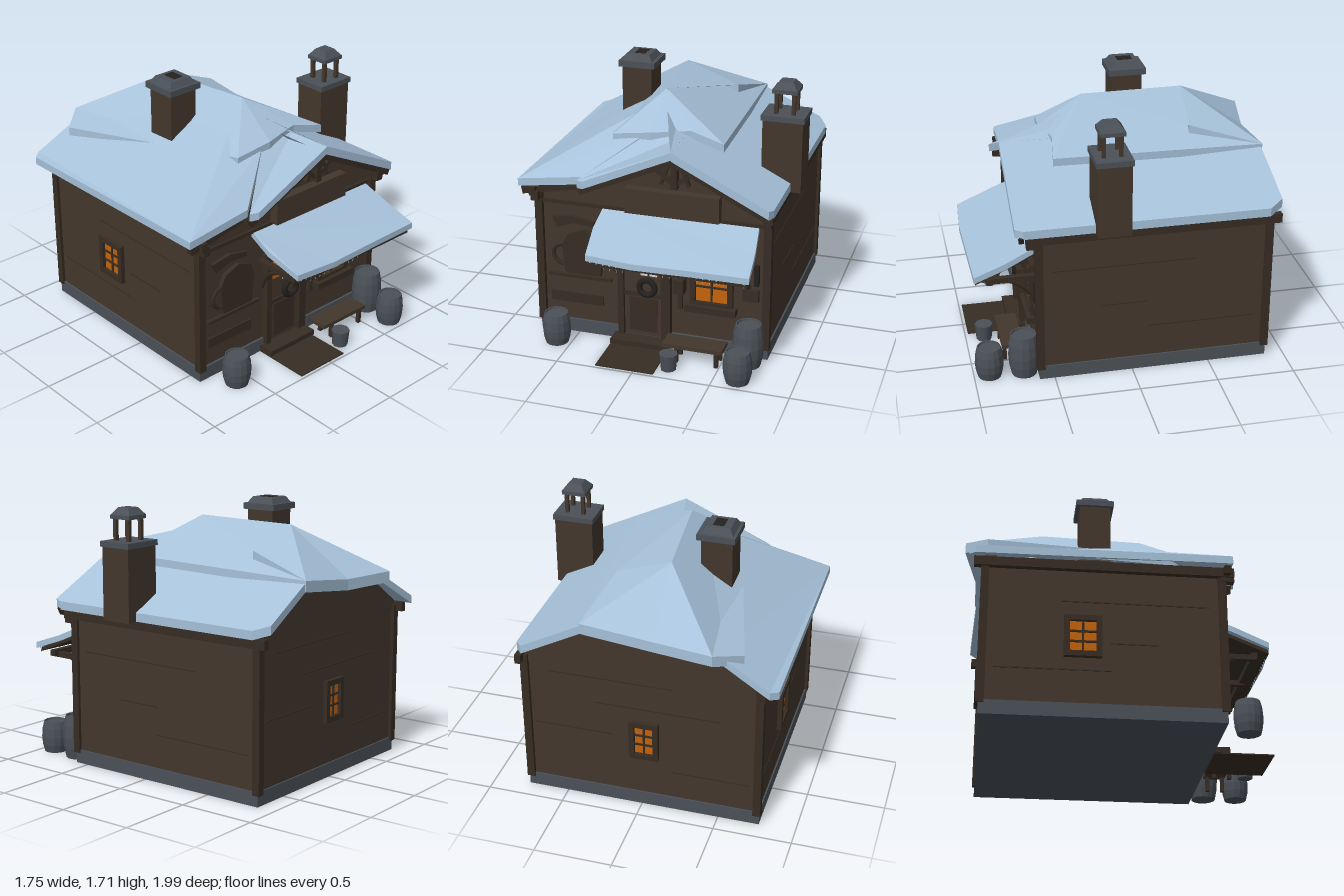
import * as THREE from 'three';

const paint = (name, color) => Object.assign(new THREE.MeshStandardMaterial({ color }), { name });

export function createModel() {
  const model = new THREE.Group();
  const wood = paint('brown wood', 0x43372c);
  const trim = paint('dark wood', 0x372d23);
  const stone = paint('grey stone', 0x4b5158);
  const snow = paint('blue snow', 0xa6c1d9);
  const glow = paint('orange window light', 0xc4630c);
  const glass = paint('pale glass', 0xd9dde0);
  const dark = paint('soot', 0x24211f);

  const add = (name, geo, mat, x = 0, y = 0, z = 0, parent = model) => {
    const m = new THREE.Mesh(geo, mat);
    m.name = name;
    m.position.set(x, y, z);
    parent.add(m);
    return m;
  };
  // box given by its limits on each axis
  const box = (name, mat, x0, x1, y0, y1, z0, z1, parent) =>
    add(name, new THREE.BoxGeometry(x1 - x0, y1 - y0, z1 - z0), mat,
      (x0 + x1) / 2, (y0 + y1) / 2, (z0 + z1) / 2, parent);
  // square beam between two points
  const beam = (name, mat, a, b, w, d) => {
    const p = new THREE.Vector3(...a), q = new THREE.Vector3(...b);
    const m = add(name, new THREE.BoxGeometry(w, p.distanceTo(q), d), mat);
    m.position.copy(p).add(q).multiplyScalar(0.5);
    m.quaternion.setFromUnitVectors(new THREE.Vector3(0, 1, 0), q.sub(p).normalize());
    return m;
  };
  // outline in x and y, extruded from z0 to z1
  const plate = (name, mat, pts, z0, z1) => add(name, new THREE.ExtrudeGeometry(
    new THREE.Shape(pts.map(p => new THREE.Vector2(...p))),
    { depth: z1 - z0, bevelEnabled: false }), mat, 0, 0, z0);
  // faceted slab: top corners counter-clockwise from above, dropped by t
  const slab = (name, mat, top, t) => {
    const low = top.map(([x, y, z]) => [x, y - t, z]);
    const v = [];
    top.forEach((p, i) => {
      const j = (i + 1) % top.length;
      v.push(low[i], low[j], top[j], low[i], top[j], p);
      if (i > 0 && j > 0) v.push(top[0], p, top[j], low[0], low[j], low[i]);
    });
    const g = new THREE.BufferGeometry();
    g.setAttribute('position', new THREE.Float32BufferAttribute(v.flat(), 3));
    g.computeVertexNormals();
    return add(name, g, mat);
  };

  // walls and foundation
  box('foundation', stone, -0.765, 0.765, 0, 0.09, -0.88, 0.595);
  plate('walls', wood, [[-0.755, 0.07], [0.755, 0.07], [0.755, 1.02], [0.17, 1.32],
    [-0.43, 1.06], [-0.755, 1.0]], -0.87, 0.58);
  plate('backGable', wood, [[-0.755, 0.95], [0.755, 0.95], [0.755, 1.03], [0.34, 1.24],
    [-0.1, 1.22], [-0.5, 1.19], [-0.755, 1.03]], -0.875, -0.8);
  for (const x of [-0.75, 0.75]) for (const z of [-0.87, 0.585])
    box('cornerPost', trim, x - 0.025, x + 0.025, 0.07, 1.0, z - 0.025, z + 0.025);
  for (const s of [-1, 1]) {
    box('sideWallPlate', trim, s * 0.77 - 0.02, s * 0.77 + 0.02, 0.96, 1.02, -0.94, 0.66);
    for (const [y, a, b] of [[0.3, -0.8, -0.1], [0.48, -0.1, 0.2], [0.75, -0.4, 0.5]])
      box('plankSeam', trim, s * 0.756 - 0.003, s * 0.756 + 0.003, y, y + 0.007, a, b);
  }
  for (const [y, a, b] of [[0.28, -0.7, -0.2], [0.5, 0.2, 0.7], [0.72, -0.5, 0.3], [0.9, -0.2, 0.6]])
    box('backPlankSeam', trim, a, b, y, y + 0.007, -0.879, -0.873);

  // main roof snow: left slope, right slope and front gable
  slab('roofLeft', snow, [[-0.87, 1.06, 0.64], [-0.43, 1.13, 0.66], [-0.1, 1.36, 0.43], [-0.04, 1.53, 0.15],
    [-0.09, 1.51, -0.5], [-0.5, 1.24, -0.93], [-0.82, 1.06, -0.97], [-0.87, 1.05, -0.93]], 0.05);
  slab('roofRight', snow, [[0.17, 1.385, 0.73], [0.78, 1.08, 0.73], [0.8, 1.07, 0.68], [0.8, 1.07, -0.86],
    [0.74, 1.1, -0.95], [0.34, 1.3, -0.92], [-0.09, 1.5, -0.5], [-0.04, 1.53, 0.15], [0.17, 1.385, 0.42]], 0.055);
  slab('frontGableLeft', snow, [[-0.45, 1.12, 0.7], [-0.4, 1.13, 0.73], [0.17, 1.385, 0.73],
    [0.17, 1.385, 0.42], [-0.1, 1.35, 0.43]], 0.05);

  // thick drift over the ridge, clipped at both ends
  const A = [-0.03, 1.59, 0.17], B = [-0.09, 1.57, -0.5], C = [0.27, 1.44, -0.47];
  const FL = [-0.3, 1.35, 0.43], FR = [0.42, 1.355, 0.43], BR = [0.36, 1.31, -0.93], BL = [-0.48, 1.27, -1];
  slab('driftLeft', snow, [FL, A, B, BL, [-0.64, 1.22, -0.86]], 0.07);
  slab('driftBack', snow, [B, C, BR, [-0.1, 1.26, -0.93], BL], 0.07);
  slab('driftRight', snow, [A, FR, BR, C, B], 0.05);
  slab('driftFront', snow, [A, FL, [-0.05, 1.39, 0.45], [0.2, 1.41, 0.4], FR], 0.05);

  // barge boards and gable truss
  beam('bargeBoard', trim, [-0.44, 1.05, 0.69], [0.17, 1.315, 0.69], 0.05, 0.03);
  beam('bargeBoard', trim, [0.17, 1.315, 0.69], [0.79, 1.0, 0.69], 0.05, 0.03);
  beam('bargeBoard', trim, [-0.85, 0.98, 0.61], [-0.44, 1.06, 0.61], 0.05, 0.04);
  box('kingPost', trim, 0.15, 0.19, 1.12, 1.32, 0.62, 0.67);
  for (const s of [-1, 1]) {
    beam('trussBrace', trim, [0.17, 1.14, 0.64], [0.17 + s * 0.13, 1.24, 0.64], 0.025, 0.03);
    beam('trussStrut', trim, [0.17 + s * 0.03, 1.3, 0.64], [0.17 + s * 0.09, 1.14, 0.64], 0.02, 0.03);
    box('rafterEnd', trim, s * 0.755 - 0.025, s * 0.755 + 0.025, 0.93, 0.99, 0.58, 0.66);
  }
  box('frontBeam', trim, -0.73, 0.73, 0.9, 0.925, 0.57, 0.595);
  box('gableBoard', wood, -0.16, 0.45, 0.915, 1.08, 0.58, 0.64);

  // solid chimney
  box('leftChimney', wood, -0.41, -0.21, 1.15, 1.64, -0.27, -0.07);
  box('leftChimneyCap', stone, -0.43, -0.185, 1.63, 1.67, -0.295, -0.05);
  const crown = (name, r0, r1, h, x, y, z) => {
    add(name, new THREE.CylinderGeometry(r0, r1, h, 4, 1).rotateY(Math.PI / 4).toNonIndexed(), stone, x, y, z)
      .geometry.computeVertexNormals();
  };
  crown('leftChimneyCrown', 0.11, 0.145, 0.04, -0.31, 1.69, -0.17);
  box('flueOpening', dark, -0.34, -0.27, 1.705, 1.712, -0.22, -0.12);

  // chimney with an open lantern top
  box('rightChimney', wood, 0.61, 0.865, 1.01, 1.48, 0.03, 0.24);
  box('rightChimneyCap', stone, 0.6, 0.875, 1.47, 1.505, 0.02, 0.25);
  for (const x of [0.685, 0.795]) for (const z of [0.085, 0.19])
    box('lanternPost', wood, x - 0.012, x + 0.012, 1.5, 1.65, z - 0.012, z + 0.012);
  box('lanternPlate', stone, 0.66, 0.82, 1.64, 1.665, 0.06, 0.215);
  crown('lanternCrown', 0.06, 0.108, 0.045, 0.74, 1.687, 0.137);

  // porch canopy with icicles and brackets
  slab('canopySnow', snow, [[-0.32, 0.91, 0.58], [-0.33, 0.84, 0.74], [-0.3, 0.755, 0.97], [0, 0.745, 0.99], [0.4, 0.75, 0.985],
    [0.73, 0.75, 0.98], [0.715, 0.82, 0.78], [0.69, 0.91, 0.58]], 0.04);
  slab('canopyDeck', trim, [[-0.29, 0.865, 0.58], [-0.28, 0.71, 0.97], [0.7, 0.71, 0.97], [0.67, 0.865, 0.58]], 0.025);
  box('canopyBeam', trim, -0.26, 0.68, 0.66, 0.7, 0.86, 0.9);
  for (let i = 0; i < 24; i++) {
    const h = 0.02 + 0.03 * Math.abs(Math.sin(i * 2.7));
    add('icicle', new THREE.ConeGeometry(0.009, h, 5).rotateX(Math.PI), snow, -0.27 + i * 0.042, 0.712 - h / 2, 0.965);
  }
  for (const x of [-0.24, 0.18, 0.63]) {
    box('bracketArm', trim, x - 0.018, x + 0.018, 0.65, 0.685, 0.58, 0.9);
    add('bracketCurve', new THREE.TubeGeometry(new THREE.QuadraticBezierCurve3(
      new THREE.Vector3(x, 0.48, 0.59), new THREE.Vector3(x, 0.61, 0.62),
      new THREE.Vector3(x, 0.66, 0.76)), 8, 0.016, 5), trim);
  }

  // door, step and mat
  for (const [a, b] of [[-0.22, -0.18], [0.07, 0.13]]) box('doorJamb', trim, a, b, 0.05, 0.69, 0.58, 0.625);
  box('doorLintel', trim, -0.23, 0.14, 0.67, 0.71, 0.58, 0.63);
  box('doorLeaf', wood, -0.18, 0.07, 0.05, 0.68, 0.58, 0.6);
  box('doorPanel', trim, -0.145, 0.04, 0.08, 0.32, 0.6, 0.608);
  box('doorRail', trim, -0.18, 0.07, 0.33, 0.36, 0.6, 0.612);
  box('doorPaneLit', glow, -0.18, -0.08, 0.51, 0.63, 0.6, 0.606);
  box('doorPaneClear', glass, -0.07, 0.04, 0.48, 0.63, 0.6, 0.606);
  box('doorMuntin', trim, -0.02, -0.01, 0.48, 0.63, 0.602, 0.612);
  box('doorMuntin', trim, -0.18, 0.05, 0.555, 0.567, 0.602, 0.612);
  add('wreath', new THREE.TorusGeometry(0.052, 0.02, 7, 14), dark, -0.02, 0.41, 0.63);
  box('doorStep', trim, -0.25, 0.14, 0.01, 0.045, 0.58, 0.7);
  box('doorMat', trim, -0.25, 0.13, 0, 0.008, 0.6, 0.98);

  // windows: unit facing +z, placed on front, back and left walls
  const windowUnit = (name, w, h, x, y, z, turn) => {
    const g = new THREE.Group();
    g.name = name;
    const a = w / 2, b = h / 2, f = 0.035;
    box('pane', glow, -a, a, -b, b, 0, 0.007, g);
    for (const s of [-1, 1]) {
      box('frameSide', trim, s * (a + f / 2) - f / 2, s * (a + f / 2) + f / 2, -b - f, b + f, 0, 0.03, g);
      box('frameRail', trim, -a, a, s * (b + f / 2) - f / 2, s * (b + f / 2) + f / 2, 0, 0.03, g);
      box('muntin', trim, -a, a, s * h / 6 - 0.006, s * h / 6 + 0.006, 0, 0.016, g);
    }
    box('mullion', trim, -0.006, 0.006, -b, b, 0, 0.016, g);
    g.position.set(x, y, z);
    g.rotation.y = turn;
    model.add(g);
  };
  windowUnit('frontWindow', 0.21, 0.31, 0.395, 0.505, 0.58, 0);
  windowUnit('backWindow', 0.12, 0.2, -0.02, 0.5, -0.875, Math.PI);
  windowUnit('leftSideWindow', 0.16, 0.2, -0.755, 0.52, -0.27, -Math.PI / 2);
  box('windowSill', trim, 0.23, 0.56, 0.285, 0.33, 0.58, 0.64);

  // hanging tankard board with a plank beneath
  plate('tankardBody', trim, [[-0.58, 0.43], [-0.34, 0.43], [-0.32, 0.62], [-0.35, 0.7], [-0.45, 0.74],
    [-0.56, 0.7], [-0.6, 0.62]], 0.58, 0.61);
  const handle = add('tankardHandle', new THREE.TorusGeometry(0.07, 0.014, 5, 12, Math.PI), trim, -0.59, 0.555, 0.6);
  handle.rotation.z = Math.PI / 2;
  plate('archBoard', trim, [[-0.63, 0.74], [-0.52, 0.78], [-0.38, 0.77], [-0.38, 0.8], [-0.52, 0.83], [-0.66, 0.81]], 0.58, 0.605);
  box('boardLedge', trim, -0.7, -0.27, 0.395, 0.415, 0.58, 0.605);
  box('lowerPlank', trim, -0.69, -0.33, 0.21, 0.28, 0.58, 0.592);

  // lantern and wall boards beside the window
  box('wallLantern', trim, 0.155, 0.225, 0.4, 0.5, 0.58, 0.65);
  box('wallLanternStem', trim, 0.175, 0.205, 0.28, 0.56, 0.58, 0.61);
  box('sideBoard', trim, 0.6, 0.7, 0.4, 0.48, 0.58, 0.61);
  box('sideHook', dark, 0.67, 0.7, 0.51, 0.65, 0.58, 0.61);

  // bench with a snowy stone pot
  box('benchSeat', wood, 0.13, 0.52, 0.1, 0.125, 0.66, 0.8);
  for (const x of [0.22, 0.48]) for (const z of [0.68, 0.78])
    box('benchLeg', trim, x - 0.012, x + 0.012, 0, 0.1, z - 0.012, z + 0.012);
  add('stonePot', new THREE.CylinderGeometry(0.06, 0.05, 0.11, 8), stone, 0.2, 0.055, 0.88);

  // barrels
  const barrel = (x, z, r, h) => {
    const profile = [[0, 0], [0.8, 0], [0.95, 0.25], [1, 0.5], [0.95, 0.78], [0.82, 1], [0.74, 1], [0.72, 0.95], [0, 0.95]];
    const g = new THREE.LatheGeometry(profile.map(([a, b]) => new THREE.Vector2(a * r, b * h)), 14).toNonIndexed();
    g.computeVertexNormals();
    add('barrel', g, stone, x, 0, z);
  };
  barrel(-0.595, 0.75, 0.092, 0.21);
  barrel(0.66, 0.68, 0.1, 0.285);
  barrel(0.65, 0.9, 0.092, 0.21);

  return model;
}
